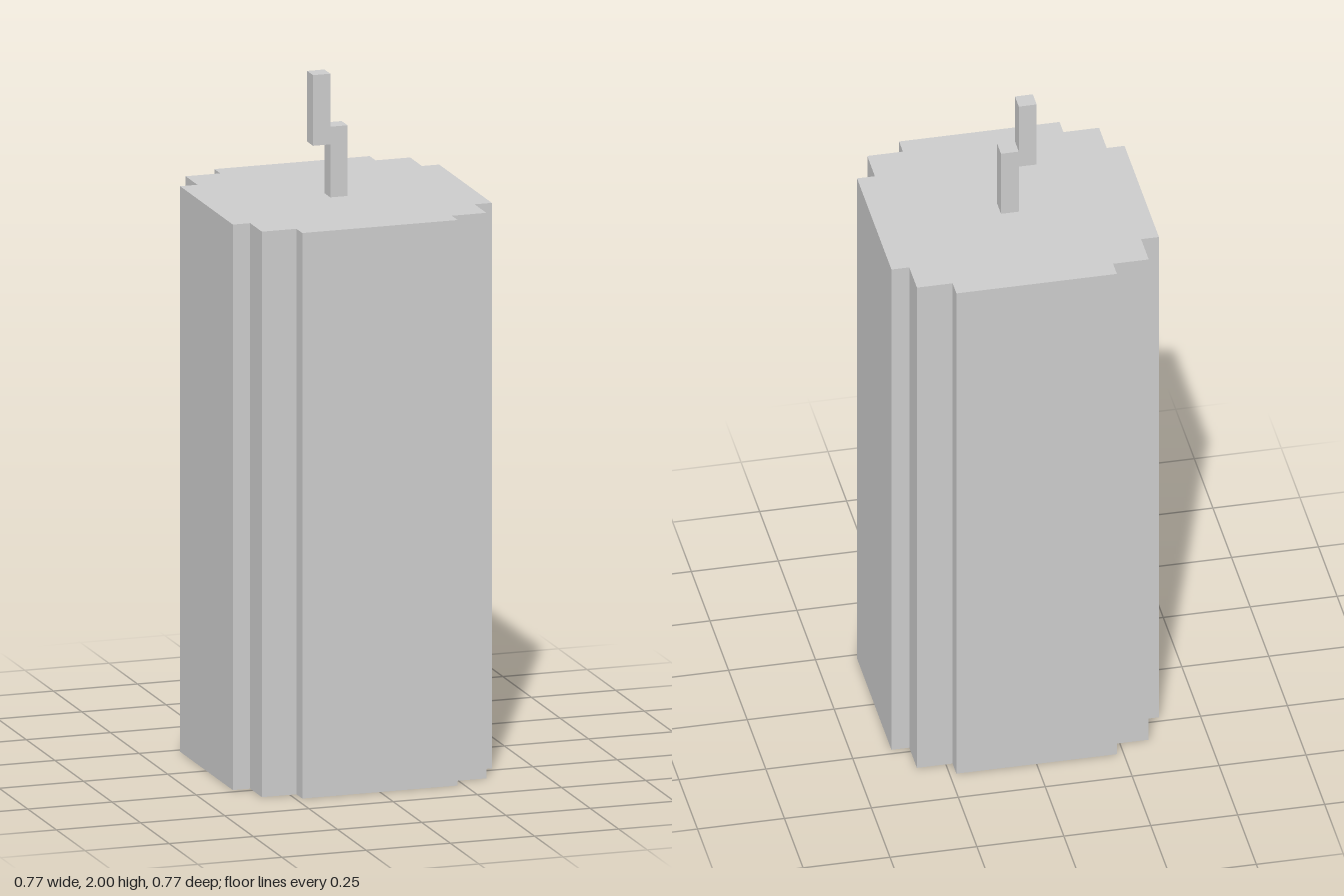
import * as THREE from 'three';

const U = 2 / 39; // one block unit; the whole model is 39 units tall
const BODY_HEIGHT = 32;

const extrude = (points, depth) => {
  const shape = new THREE.Shape(points.map(([x, y]) => new THREE.Vector2(x * U, y * U)));
  return new THREE.ExtrudeGeometry(shape, { depth: depth * U, bevelEnabled: false });
};

export function createModel() {
  const group = new THREE.Group();
  const material = new THREE.MeshStandardMaterial({ color: 0xcccccc, flatShading: true });
  const add = (name, geometry) => {
    const mesh = new THREE.Mesh(geometry, material);
    mesh.name = name;
    group.add(mesh);
  };

  // Candle body: one stepped corner, repeated by quarter turns, extruded upwards
  const corner = [[7.5, 4.5], [6.5, 4.5], [6.5, 6.5], [4.5, 6.5], [4.5, 7.5]];
  const outline = [];
  for (const [c, s] of [[1, 0], [0, 1], [-1, 0], [0, -1]]) {
    for (const [x, y] of corner) outline.push([x * c - y * s, x * s + y * c]);
  }
  add('candleBody', extrude(outline, BODY_HEIGHT).rotateX(-Math.PI / 2));

  // Wick: a square strand with one sideways step
  const wick = [
    [-0.5, 0], [0.5, 0], [0.5, 4], [-0.5, 4],
    [-0.5, 7], [-1.5, 7], [-1.5, 3], [-0.5, 3],
  ];
  add('wick', extrude(wick, 1).translate(0, BODY_HEIGHT * U, -U / 2));

  return group;
}
